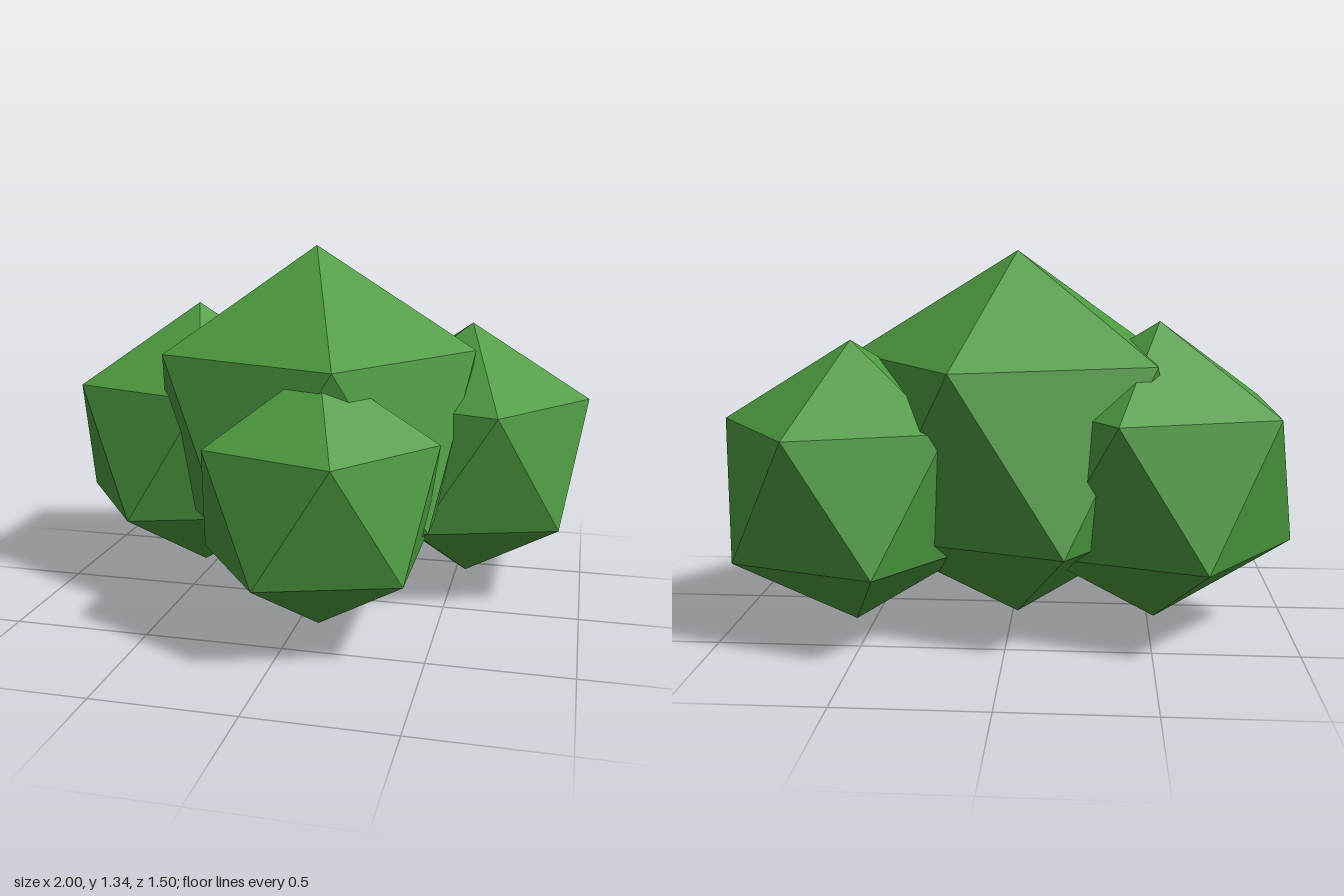
import * as THREE from 'three';

export function createModel() {
  const group = new THREE.Group();
  group.name = 'bush';
  const leafGreen = new THREE.MeshStandardMaterial({ color: 0x4c9a3f });
  leafGreen.name = 'leaf green';
  leafGreen.flatShading = true;

  // Icosahedron standing on one corner, with an upper-ring corner towards +x
  const tilt = -Math.atan(2 / (1 + Math.sqrt(5)));
  const clump = (name, radius, x, y, z) => {
    const geometry = new THREE.IcosahedronGeometry(radius, 0).rotateZ(tilt);
    const mesh = new THREE.Mesh(geometry, leafGreen);
    mesh.name = name;
    mesh.position.set(x, y, z);
    group.add(mesh);
  };

  // Overlapping clumps of foliage
  clump('centreFoliage', 0.672, -0.018, 0.674, -0.102);
  clump('rightFoliage', 0.536, -0.52, 0.57, -0.215);
  clump('leftFoliage', 0.503, 0.547, 0.542, -0.325);
  clump('frontFoliage', 0.47, 0.097, 0.515, 0.352);

  return group;
}
